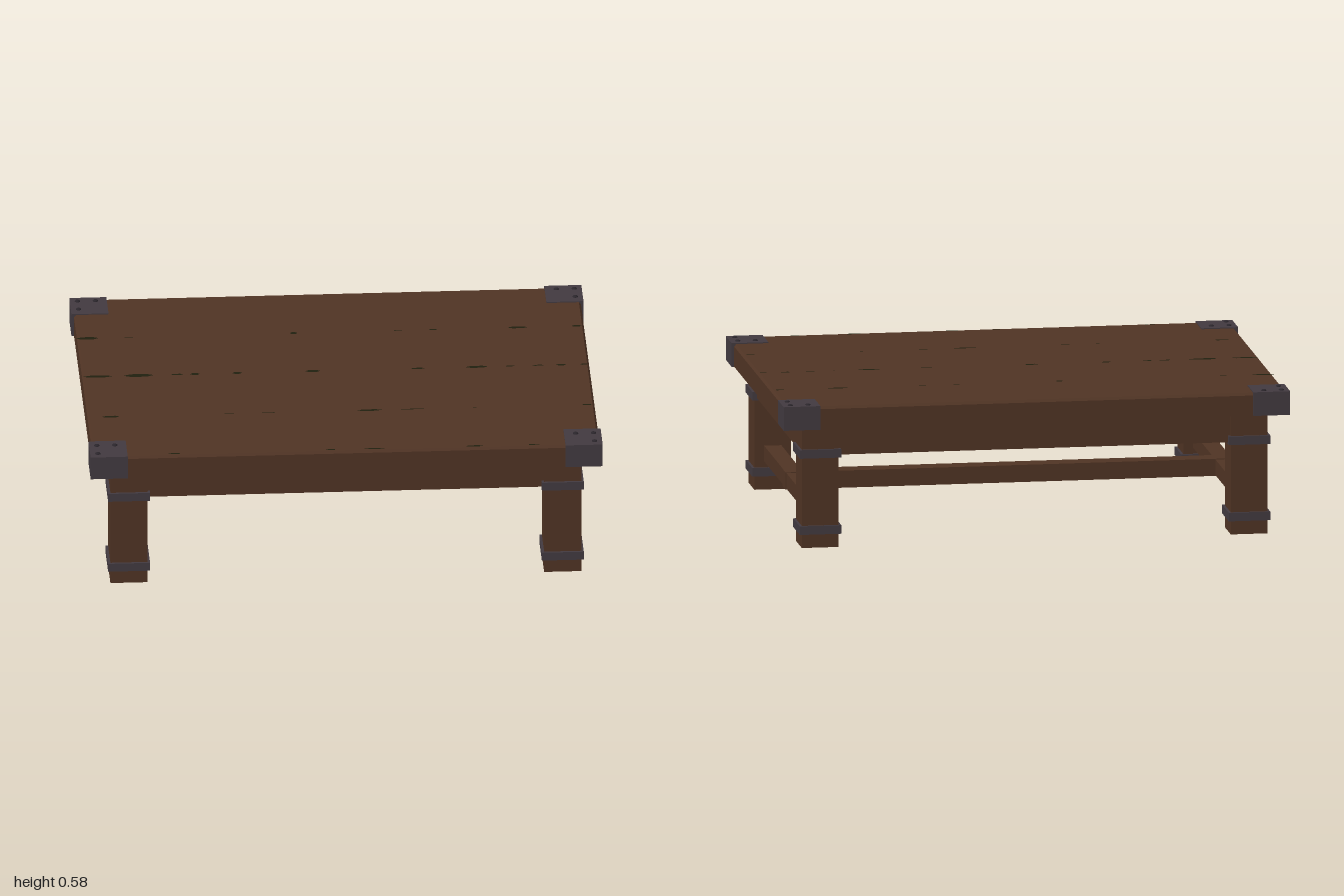
import * as THREE from 'three';

const mat = (name, color) => Object.assign(new THREE.MeshStandardMaterial({ color }), { name });

export function createModel() {
  const wood = mat('wood', 0x503424);
  const iron = mat('iron', 0x423a40);
  const rivetIron = mat('rivet iron', 0x2a252b);
  const dark = mat('dark underside', 0x20200f);
  // wood on every face except the underside
  const woodDarkBase = [wood, wood, wood, dark, wood, wood];

  const table = new THREE.Group();
  table.name = 'lowTable';

  // box given by its min and max corners
  const box = (name, material, [x0, y0, z0], [x1, y1, z1], parent = table) => {
    const mesh = new THREE.Mesh(new THREE.BoxGeometry(x1 - x0, y1 - y0, z1 - z0), material);
    mesh.position.set((x0 + x1) / 2, (y0 + y1) / 2, (z0 + z1) / 2);
    mesh.name = name;
    parent.add(mesh);
    return mesh;
  };

  // table top with a narrow bevelled upper edge
  box('tableTop', woodDarkBase, [-0.99, 0.48, -0.705], [0.99, 0.56, 0.705]);
  let bevel = new THREE.BoxGeometry(1.98, 0.01, 1.41);
  const p = bevel.attributes.position;
  for (let i = 0; i < p.count; i++) {
    if (p.getY(i) > 0) p.setXYZ(i, Math.sign(p.getX(i)) * 0.982, 0.005, Math.sign(p.getZ(i)) * 0.697);
  }
  bevel = bevel.toNonIndexed();
  bevel.computeVertexNormals();
  const bevelMesh = new THREE.Mesh(bevel, wood);
  bevelMesh.name = 'tableTopBevel';
  bevelMesh.position.y = 0.565;
  table.add(bevelMesh);

  // dark cracks along the plank joints: [x, half length, half width]
  const joints = [
    [-0.356, [[-0.95, 0.045, 0.012], [-0.79, 0.02, 0.003], [-0.145, 0.015, 0.01], [0.26, 0.02, 0.003],
      [0.40, 0.02, 0.004], [0.73, 0.04, 0.009], [0.96, 0.02, 0.008]]],
    [-0.014, [[-0.93, 0.06, 0.01], [-0.77, 0.06, 0.014], [-0.62, 0.025, 0.007], [-0.55, 0.02, 0.009],
      [-0.385, 0.02, 0.009], [-0.09, 0.03, 0.011], [0.32, 0.03, 0.006], [0.55, 0.045, 0.01],
      [0.68, 0.02, 0.004], [0.79, 0.025, 0.005], [0.88, 0.02, 0.008], [0.97, 0.015, 0.007]]],
    [0.347, [[-0.90, 0.035, 0.009], [-0.43, 0.03, 0.002], [-0.28, 0.035, 0.003], [0.11, 0.05, 0.008],
      [0.28, 0.05, 0.003], [0.52, 0.01, 0.002], [0.96, 0.02, 0.007]]],
    [0.69, [[-0.67, 0.025, 0.005], [-0.06, 0.02, 0.005], [0.11, 0.04, 0.005], [0.50, 0.035, 0.007], [0.73, 0.025, 0.004]]],
  ];
  for (const [z, cracks] of joints) {
    for (const [x, len, wid] of cracks) {
      const crack = new THREE.Mesh(new THREE.CircleGeometry(1, 6), dark);
      crack.name = 'plankCrack';
      crack.scale.set(len, wid, 1);
      crack.rotation.x = -Math.PI / 2;
      crack.position.set(x, 0.571, z);
      table.add(crack);
    }
  }

  for (const sx of [-1, 1]) {
    for (const sz of [-1, 1]) {
      const cx = sx * 0.847, cz = sz * 0.583, h = 0.0725;
      // leg and its two iron bands
      box('leg', woodDarkBase, [cx - h, 0, cz - h], [cx + h, 0.48, cz + h]);
      for (const [y0, y1] of [[0.054, 0.088], [0.357, 0.391]]) {
        box('legBand', iron, [cx - 0.082, y0, cz - 0.082], [cx + 0.082, y1, cz + 0.082]);
      }

      // iron corner bracket: top plate and two side plates
      const bracket = new THREE.Group();
      bracket.name = 'cornerBracket';
      table.add(bracket);
      const plate = (name, xa, xb, y0, y1, za, zb) => {
        const xs = [sx * xa, sx * xb].sort((a, b) => a - b);
        const zs = [sz * za, sz * zb].sort((a, b) => a - b);
        box(name, iron, [xs[0], y0, zs[0]], [xs[1], y1, zs[1]], bracket);
      };
      plate('bracketTop', 0.855, 1, 0.562, 0.574, 0.568, 0.713);
      plate('bracketSide', 0.988, 1, 0.48, 0.562, 0.568, 0.713);
      plate('bracketFace', 0.855, 0.988, 0.48, 0.562, 0.703, 0.713);

      // three domed rivets on each bracket
      const zBack = sz > 0 ? 0.608 : -0.682;
      for (const [rx, rz] of [[0.97, zBack], [0.9, zBack], [0.97, zBack + 0.072]]) {
        const rivet = new THREE.Mesh(new THREE.SphereGeometry(0.011, 10, 4, 0, Math.PI * 2, 0, Math.PI / 2), rivetIron);
        rivet.name = 'rivet';
        rivet.scale.y = 0.65;
        rivet.position.set(sx * rx, 0.573, rz);
        bracket.add(rivet);
      }
    }
  }

  // aprons under the top, slightly set back from the leg faces
  for (const s of [-1, 1]) {
    const z = s * 0.615, x = s * 0.88;
    box('longApron', wood, [-0.776, 0.365, z - 0.03], [0.776, 0.48, z + 0.03]);
    box('shortApron', wood, [x - 0.03, 0.365, -0.512], [x + 0.03, 0.48, 0.512]);
    // low rail joining each pair of end legs
    const rx = s * 0.847;
    box('sideStretcher', wood, [rx - 0.034, 0.112, -0.512], [rx + 0.034, 0.174, 0.512]);
  }

  // long rail between the side stretchers
  box('centreStretcher', wood, [-0.885, 0.109, -0.038], [0.885, 0.177, 0.038]);

  return table;
}
